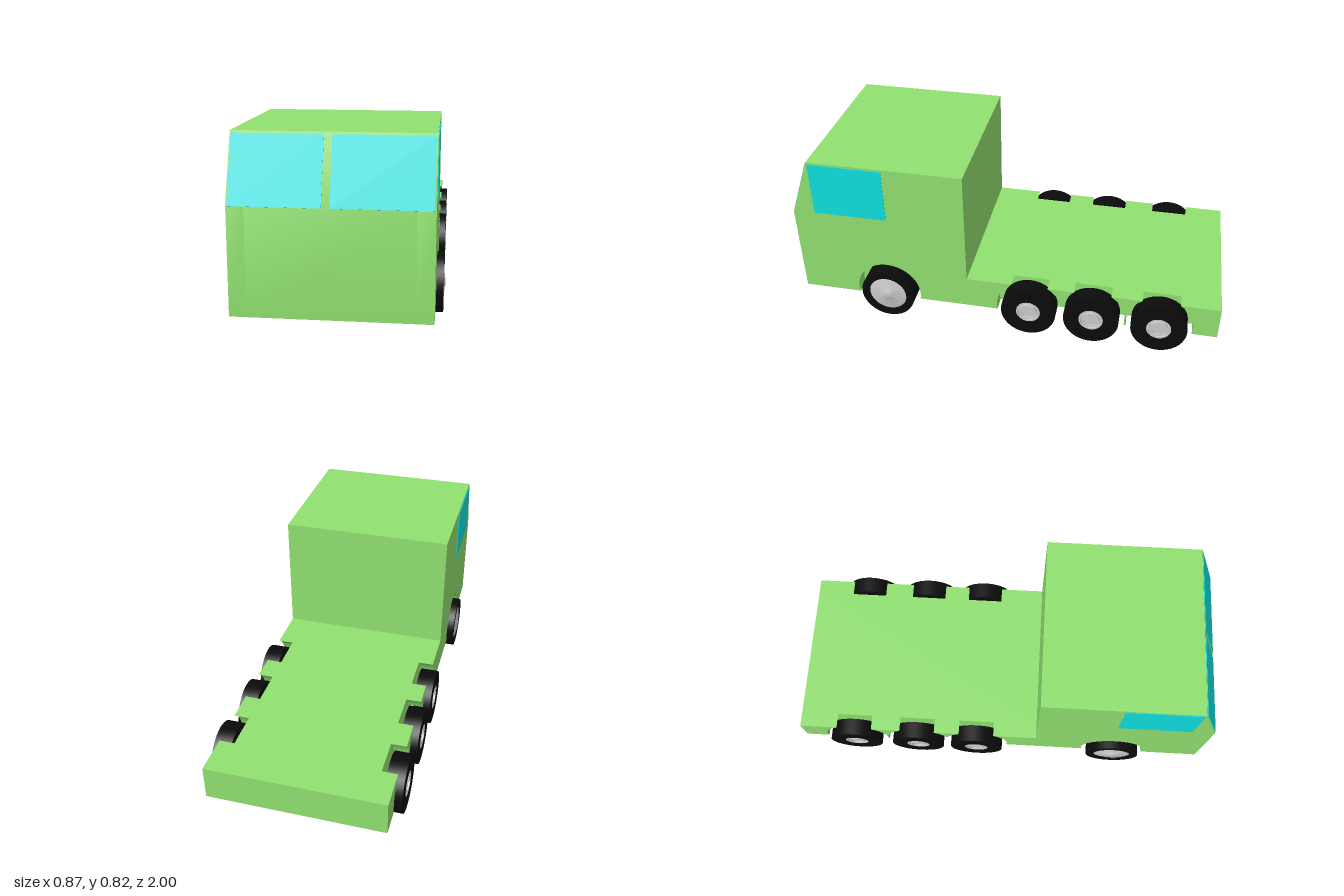
import * as THREE from 'three';
import { toCreasedNormals } from 'three/addons/utils/BufferGeometryUtils.js';

const paint = new THREE.MeshStandardMaterial({ color: 0x90e070 });
const glass = new THREE.MeshStandardMaterial({ color: 0x10e0e0 });
const rubber = new THREE.MeshStandardMaterial({ color: 0x0b0b0b });
const metal = new THREE.MeshStandardMaterial({ color: 0xcccccc });

const HALF = 0.4, INNER = 0.33, BOTTOM = 0.1, DECK = 0.26;
const AXLE_Y = 0.13, TYRE_R = 0.13, ARCH_R = 0.156;
const FRONT_Z = 0.57, REAR_Z = [-0.12, -0.417, -0.732];

function addMesh(parent, name, geometry, material) {
  const mesh = new THREE.Mesh(geometry, material);
  mesh.name = name;
  parent.add(mesh);
  return mesh;
}

// Extrudes a (z, y) outline across the vehicle from x0 to x1
function slab(points, x0, x1) {
  const shape = new THREE.Shape(points.map(([z, y]) => new THREE.Vector2(z, y)));
  const geometry = new THREE.ExtrudeGeometry(shape, { depth: x1 - x0, bevelEnabled: false });
  geometry.rotateY(-Math.PI / 2).translate(x1, 0, 0);
  return toCreasedNormals(geometry, 0.5);
}

// Half width of a wheel arch at height y
const archHalf = (y) => Math.sqrt(Math.max(0, ARCH_R ** 2 - (y - AXLE_Y) ** 2));
const heights = Array.from({ length: 17 }, (_, i) => BOTTOM + (DECK - BOTTOM) * i / 16);

// Deck side between two arches, or from the last arch to the tail
function fenderOutline(zFront, zBack) {
  const edges = heights.map((y) => [
    zFront - archHalf(y),
    zBack === undefined ? -1 : zBack + archHalf(y), y,
  ]).filter(([a, b]) => a > b);
  return [...edges.map(([a, , y]) => [a, y]), ...edges.reverse().map(([, b, y]) => [b, y])];
}

// Cab side with the front arch, ending at the first rear arch
function cabOutline() {
  const start = Math.asin((BOTTOM - AXLE_Y) / ARCH_R);
  const arch = Array.from({ length: 33 }, (_, i) => {
    const a = start + (Math.PI - 2 * start) * (1 - i / 32);
    return [FRONT_Z + ARCH_R * Math.cos(a), AXLE_Y + ARCH_R * Math.sin(a)];
  });
  return [
    ...arch, [1, BOTTOM], [1, 0.54], [0.9, 0.82], [0.18, 0.82], [0.18, DECK],
    ...[...heights].reverse().map((y) => [REAR_Z[0] + archHalf(y), y]),
  ];
}

// Turned part whose axis lies along x; profile is [radius, x]
function turned(profile) {
  const points = profile.map(([r, x]) => new THREE.Vector2(r, x));
  const geometry = new THREE.LatheGeometry(points, 48);
  geometry.rotateZ(-Math.PI / 2);
  return toCreasedNormals(geometry, 0.5);
}

function makeWheel(name, side, z, isFront) {
  const wheel = new THREE.Group();
  wheel.name = name;
  const inner = isFront ? 0.32 : 0.35;
  const rim = isFront ? 0.092 : 0.058;
  addMesh(wheel, 'tyre', turned([
    [0, inner], [TYRE_R, inner], [TYRE_R, 0.43], [rim, 0.43], [rim, 0.405], [0, 0.405],
  ]), rubber);
  const hub = isFront
    ? [[0.092, 0.405], [0.092, 0.424], [0.07, 0.43], [0.02, 0.434], [0.015, 0.437], [0, 0.437]]
    : [[0.057, 0.405], [0.057, 0.43], [0.049, 0.43], [0.049, 0.42],
      [0.041, 0.42], [0.041, 0.431], [0.033, 0.431], [0.033, 0.424], [0, 0.424]];
  addMesh(wheel, 'hub', turned(hub), metal);
  wheel.position.set(0, AXLE_Y, z);
  if (side < 0) wheel.rotation.y = Math.PI;
  return wheel;
}

export function createModel() {
  const model = new THREE.Group();
  model.name = 'flatbedTruck';

  // Central body between the wheel wells
  addMesh(model, 'bodyCore', slab([
    [-1, BOTTOM], [1, BOTTOM], [1, 0.54], [0.9, 0.82], [0.18, 0.82], [0.18, DECK], [-1, DECK],
  ], -INNER, INNER), paint);

  for (const side of [1, -1]) {
    const label = side > 0 ? 'left' : 'right';
    const x0 = side > 0 ? INNER : -HALF;
    const x1 = side > 0 ? HALF : -INNER;

    // Outer body sides with arches cut away
    addMesh(model, label + 'CabSide', slab(cabOutline(), x0, x1), paint);
    REAR_Z.forEach((z, i) => {
      addMesh(model, label + 'Fender' + (i + 1), slab(fenderOutline(z, REAR_Z[i + 1]), x0, x1), paint);
      model.add(makeWheel(label + 'RearWheel' + (i + 1), side, z, false));
    });
    model.add(makeWheel(label + 'FrontWheel', side, FRONT_Z, true));

    // Side window
    const pane = addMesh(model, label + 'SideWindow', new THREE.BoxGeometry(0.006, 0.26, 0.345), glass);
    pane.position.set(side * HALF, 0.68, 0.7225);
  }

  // Sloping windscreen panes
  const tilt = -Math.atan2(0.1, 0.28);
  for (const [name, a, b] of [['rightWindscreen', -0.395, -0.033], ['leftWindscreen', 0, 0.393]]) {
    const pane = addMesh(model, name, new THREE.BoxGeometry(b - a, 0.284, 0.006), glass);
    pane.position.set((a + b) / 2, 0.676, 1 - (0.676 - 0.54) * 0.1 / 0.28);
    pane.rotation.x = tilt;
  }
  return model;
}
